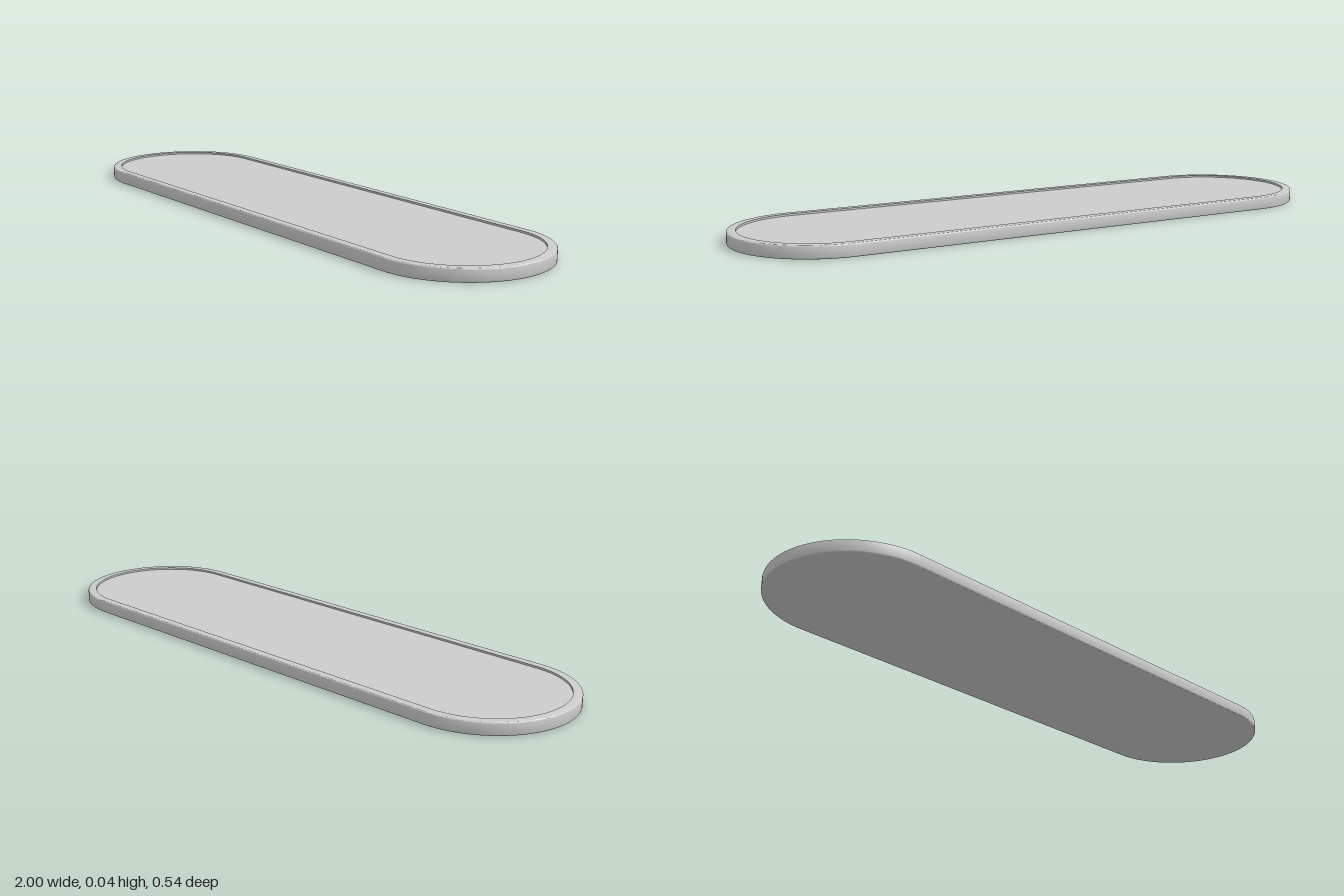
import * as THREE from 'three';
import { toCreasedNormals } from 'three/addons/utils/BufferGeometryUtils.js';

const HALF_STRAIGHT = 0.728; // from the middle to the centre of each round end
const OUTER = 0.272, INNER = 0.244;
const HEIGHT = 0.04, PANEL_HEIGHT = 0.034, ROUND = 0.004;
const STEPS = 48; // segments per round end

// Sweeps a [radius, y] profile around a slot-shaped path
function slotSweep(profile) {
  const positions = [], index = [];
  const ring = 2 * (STEPS + 1);
  for (const [r, y] of profile) {
    for (const end of [1, -1]) {
      for (let i = 0; i <= STEPS; i++) {
        const a = -Math.PI / 2 + (Math.PI * i) / STEPS;
        positions.push(end * (HALF_STRAIGHT + r * Math.cos(a)), y, end * r * Math.sin(a));
      }
    }
  }
  for (let j = 0; j < profile.length - 1; j++) {
    for (let i = 0; i < ring; i++) {
      const n = (i + 1) % ring;
      const a = j * ring + i, b = j * ring + n;
      const c = a + ring, d = b + ring;
      index.push(a, c, b, b, c, d);
    }
  }
  const geometry = new THREE.BufferGeometry();
  geometry.setAttribute('position', new THREE.Float32BufferAttribute(positions, 3));
  geometry.setIndex(index);
  return toCreasedNormals(geometry, 0.7);
}

// Quarter-round corner points for a profile
function corner(r, y, start) {
  return [0, 1, 2, 3].map((k) => {
    const a = start + (k * Math.PI) / 6;
    return [r + ROUND * Math.cos(a), y + ROUND * Math.sin(a)];
  });
}

export function createModel() {
  const group = new THREE.Group();
  group.name = 'slotTray';
  const material = new THREE.MeshStandardMaterial({ color: 0xcccccc });
  const add = (name, profile) => {
    const mesh = new THREE.Mesh(slotSweep(profile), material);
    mesh.name = name;
    group.add(mesh);
  };

  // Raised rim with softened outer edges
  add('rim', [
    [INNER, 0],
    ...corner(OUTER - ROUND, ROUND, -Math.PI / 2),
    ...corner(OUTER - ROUND, HEIGHT - ROUND, 0),
    [INNER, HEIGHT],
    [INNER, 0],
  ]);

  // Flat panel sunk slightly below the rim
  add('panel', [[0, 0], [INNER, 0], [INNER, PANEL_HEIGHT], [0, PANEL_HEIGHT]]);

  return group;
}
